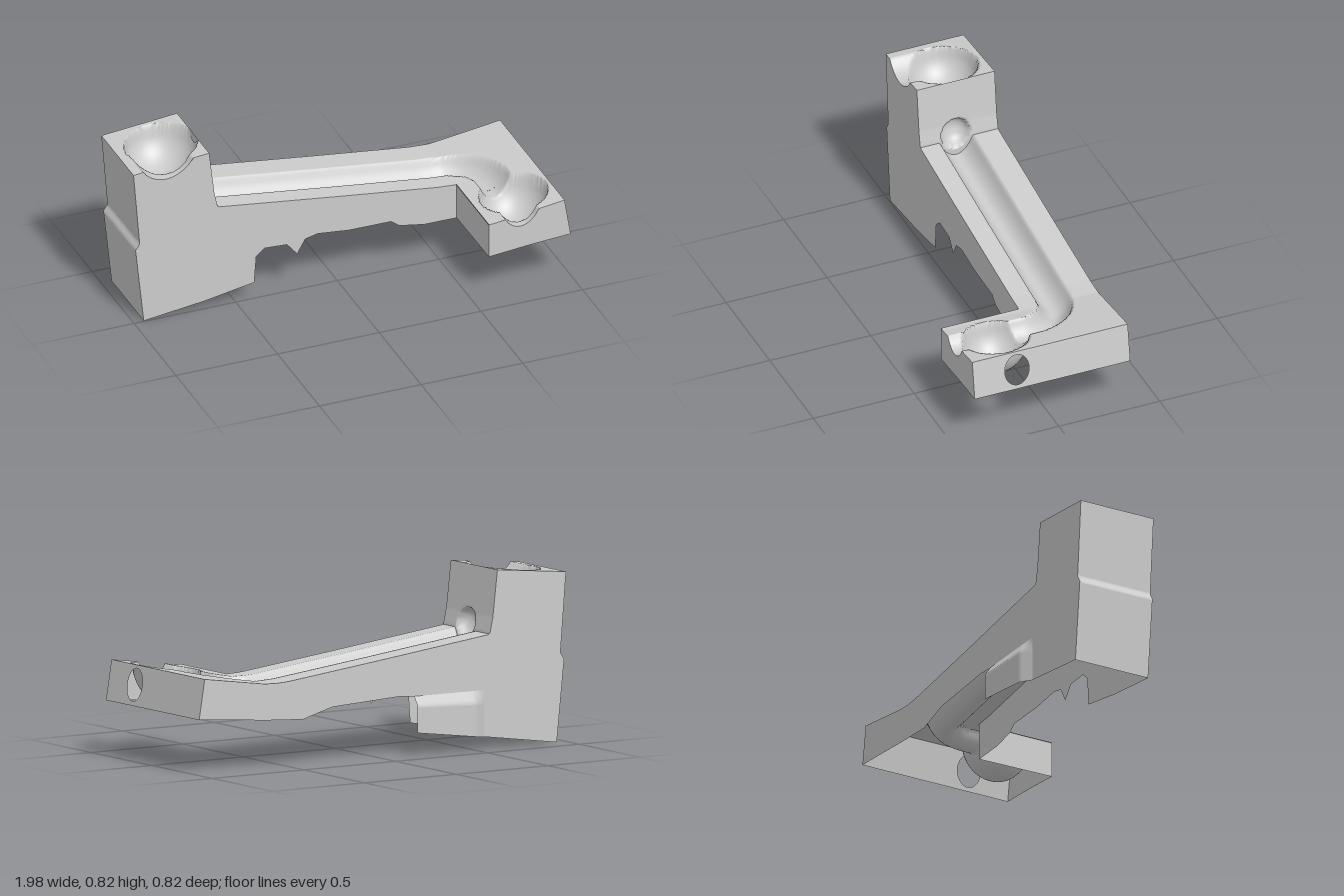
import * as THREE from 'three';

const mat = new THREE.MeshStandardMaterial({ color: 0xcccccc, side: THREE.DoubleSide });
const BACK = -0.385, FRONT = 0.385, LANE = -0.178;

// piecewise-linear lookup
function lerpPts(pts, t) {
  for (let i = 1; i < pts.length; i++) {
    const [a, va] = pts[i - 1], [b, vb] = pts[i];
    if (t <= b || i === pts.length - 1) return va + (vb - va) * THREE.MathUtils.clamp((t - a) / (b - a), 0, 1);
  }
}
const round = (d, r, depth) => (d < r ? depth * Math.sqrt(1 - (d / r) ** 2) : 0);
const trough = (d, w, depth) => (d < w ? depth * (1 - (d / w) ** 2) ** 0.8 : 0);

// distance from the centre line of the curved marble channel
function laneDistance(x, z) {
  if (x < 0.54) return z < 0.025 ? Math.abs(z - LANE) : 1;
  if (z < 0.025) return Math.abs(Math.hypot(x - 0.54, z - 0.025) - 0.203);
  return Math.abs(x - 0.743);
}

// height of the ramp, its channel and the catch bowl
function rampTop(x, z) {
  const base = lerpPts([[-0.6, 0.525], [0, 0.45], [0.5, 0.39], [0.6, 0.385], [0.95, 0.435]], x);
  const lane = trough(laneDistance(x, z), 0.08, z > 0.2 ? 0.06 : 0.085);
  return base - Math.max(lane, round(Math.hypot(x - 0.775, z - 0.2), 0.155, 0.18));
}

// height of the tower top with its bowl and front notch
function towerTop(x, z) {
  const base = 0.78 + 0.1 * (x + 1);
  const notch = z > -0.19 ? trough(Math.abs(x + 0.83), 0.12, 0.07) : 0;
  return base - Math.max(notch, round(Math.hypot(x + 0.79, z + 0.19), 0.165, 0.17));
}

// the whole run drifts slightly toward the front along its length
function addMesh(group, name, geo) {
  const p = geo.attributes.position;
  for (let i = 0; i < p.count; i++) p.setZ(i, p.getZ(i) + 0.014 * (p.getX(i) + 0.6));
  geo.computeVertexNormals();
  const mesh = new THREE.Mesh(geo, mat);
  mesh.name = name;
  group.add(mesh);
}

// grid surface from fn(u, v) => [x, y, z]
function sheet(group, name, nu, nv, fn) {
  const geo = new THREE.PlaneGeometry(1, 1, nu, nv);
  const p = geo.attributes.position;
  for (let i = 0; i < p.count; i++) p.setXYZ(i, ...fn(p.getX(i) + 0.5, 0.5 - p.getY(i)));
  addMesh(group, name, geo);
}

// flat wall from an outline, each point placed by fn(a, b) => [x, y, z]
function wall(group, name, outline, fn, hole) {
  const shape = new THREE.Shape(outline.map(([a, b]) => new THREE.Vector2(a, b)));
  if (hole) shape.holes.push(hole);
  const geo = new THREE.ShapeGeometry(shape, 24);
  const p = geo.attributes.position;
  for (let i = 0; i < p.count; i++) p.setXYZ(i, ...fn(p.getX(i), p.getY(i)));
  addMesh(group, name, geo);
}

const samples = (a, b, n, f) => Array.from({ length: n + 1 }, (_, i) => {
  const t = a + (b - a) * i / n;
  return [t, f(t)];
});
const mix = THREE.MathUtils.lerp;

export function createModel() {
  const g = new THREE.Group();
  g.name = 'marbleRun';

  // tower
  const leftEdge = [[0, -0.95], [0.38, -0.99], [0.41, -0.97], [0.78, -1]];
  sheet(g, 'towerTop', 48, 48, (u, v) => {
    const x = mix(-1, -0.63, u), z = mix(BACK, 0, v);
    return [x, towerTop(x, z), z];
  });
  sheet(g, 'towerLeftWall', 4, 78, (u, v) => {
    const y = 0.78 * (1 - v);
    return [lerpPts(leftEdge, y), y, mix(BACK, 0, u)];
  });
  // wall above the ramp with the round marble outlet
  sheet(g, 'towerOutletWall', 44, 44, (u, v) => {
    const z = mix(0, BACK, u), y = mix(0.817, 0.43, v);
    const x = lerpPts([[0.43, -0.59], [0.53, -0.59], [0.6, -0.605], [0.817, -0.63]], y);
    return [x - round(Math.hypot(z - LANE, y - 0.55), 0.07, 0.06), y, z];
  });

  // ramp and end block tops
  sheet(g, 'rampTop', 160, 50, (u, v) => {
    const x = mix(-0.6, 0.95, u), z = mix(BACK, 0, v);
    return [x, rampTop(x, z), z];
  });
  sheet(g, 'endBlockTop', 50, 50, (u, v) => {
    const x = mix(0.58, 0.95, u), z = mix(0, FRONT, v);
    return [x, rampTop(x, z), z];
  });

  // long side walls, open underneath
  const sideTop = (z, end) => [
    ...leftEdge.slice(0, 3),
  ].map(([y, x]) => [x, y]).concat(
    samples(-1, -0.63, 30, x => towerTop(x, z)),
    [[-0.605, 0.6], [-0.59, 0.53]],
    samples(-0.58, end, 24, x => rampTop(x, z)));
  wall(g, 'frontWall', [...sideTop(0, 0.58),
    [0.58, 0.21], [0.42, 0.21], [0.3, 0.23], [0.26, 0.26], [0.05, 0.26], [-0.1, 0.275], [-0.16, 0.26],
    [-0.2, 0.19], [-0.25, 0.25], [-0.36, 0.255], [-0.4, 0.22], [-0.41, 0.085], [-0.65, 0.04]],
  (x, y) => [x, y, 0]);
  wall(g, 'backWall', [...sideTop(BACK, 0.95),
    [0.98, 0.25], [0.6, 0.22], [0.42, 0.21], [0.26, 0.255], [-0.1, 0.275], [-0.16, 0.27],
    [-0.56, 0.27], [-0.56, 0.055]],
  (x, y) => [x, y, BACK]);
  // bulging foot of the back wall
  sheet(g, 'backFoot', 30, 16, (u, v) => {
    const x = mix(-0.56, -0.18, u);
    const bulge = Math.min(1, u * 6) * Math.min(1, v * 4);
    return [x, mix(0.27, mix(0.055, 0.105, u), v), BACK - 0.03 * bulge];
  });

  // end block walls
  wall(g, 'endFrontWall', [...samples(0.58, 0.95, 40, x => rampTop(x, FRONT)),
    [0.98, 0.25], [0.78, 0.235], [0.58, 0.215]], (x, y) => [x, y, FRONT]);
  wall(g, 'endInnerWall', [[0, 0.21], [FRONT, 0.215], [FRONT, 0.383], [0, 0.383]],
    (z, y) => [0.58, y, z]);
  const hole = new THREE.Path().absellipse(0.17, 0.345, 0.06, 0.075, 0, Math.PI * 2);
  wall(g, 'endOuterWall', [[BACK, 0.25], [FRONT, 0.25], [FRONT, 0.435], [BACK, 0.435]],
    (z, y) => [mix(0.98, 0.95, (y - 0.25) / 0.185), y, z], hole);

  return g;
}
